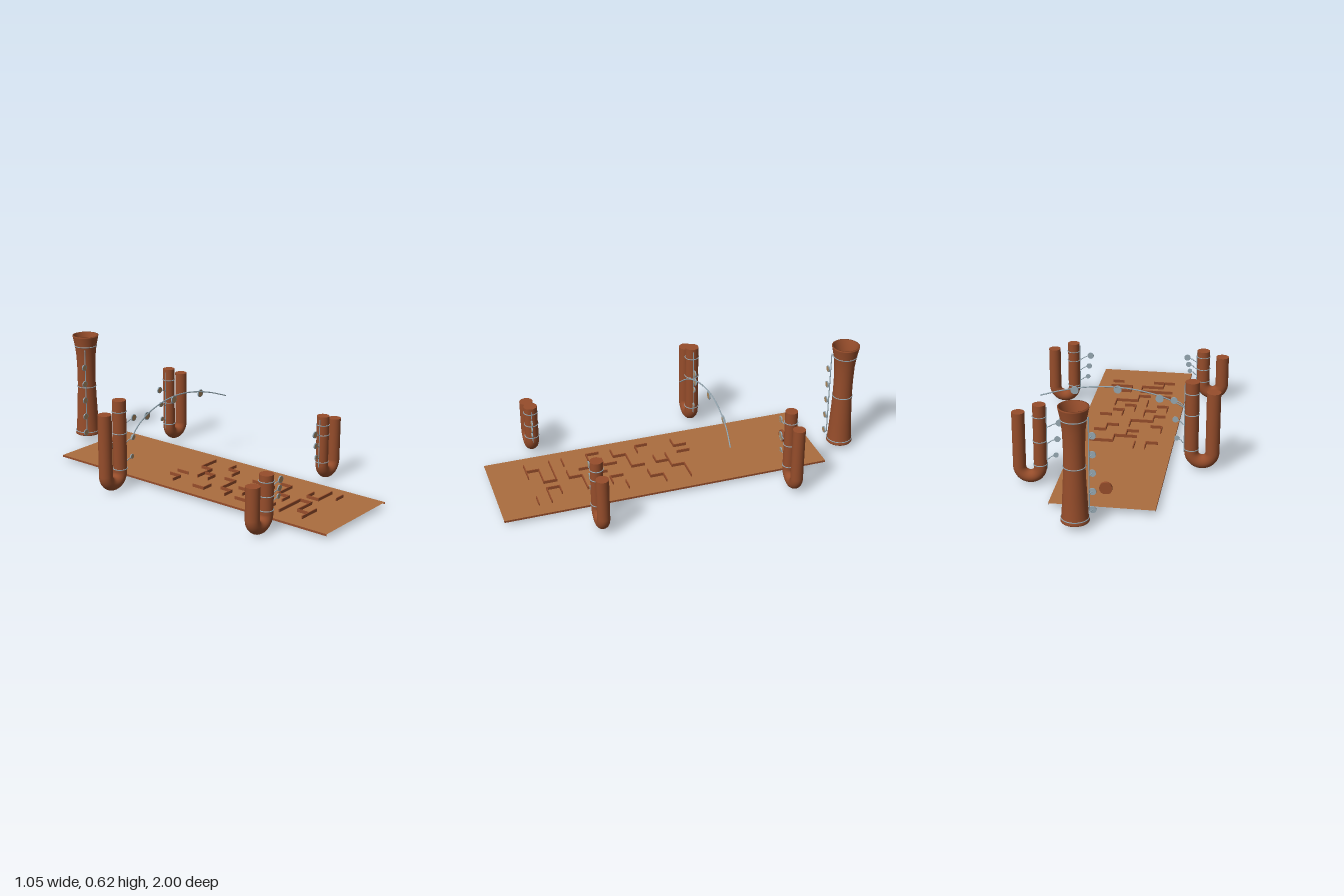
import * as THREE from 'three';

const mat = (name, color, side = THREE.FrontSide) => {
  const m = new THREE.MeshStandardMaterial({ color, side });
  m.name = name;
  return m;
};

export function createModel() {
  const clay = mat('clay', 0x964d2b, THREE.DoubleSide);
  const sand = mat('sand', 0xab6d3f, THREE.DoubleSide);
  const wire = mat('wire', 0x95a8b2);
  const tan = mat('tan', 0xae8a60);

  const model = new THREE.Group();
  model.name = 'pipeGarden';

  const add = (parent, name, geo, material, x = 0, y = 0, z = 0) => {
    const m = new THREE.Mesh(geo, material);
    m.name = name;
    m.position.set(x, y, z);
    parent.add(m);
    return m;
  };
  const group = (name) => {
    const g = new THREE.Group();
    g.name = name;
    model.add(g);
    return g;
  };
  const tube = (parent, name, pts, r, seg = 12) => add(parent, name,
    new THREE.TubeGeometry(new THREE.CatmullRomCurve3(pts.map((p) => new THREE.Vector3(...p))), seg, r, 6), wire);
  const band = (parent, x, y, z, r) =>
    add(parent, 'strap', new THREE.TorusGeometry(r, 0.0026, 8, 32).rotateX(Math.PI / 2), wire, x, y, z);

  // Round metal disc facing the front, with a paler inset face
  const disc = (parent, name, x, y, z, r) => {
    add(parent, name, new THREE.CylinderGeometry(r, r, 0.006, 24).rotateX(Math.PI / 2), wire, x, y, z);
    add(parent, name + 'Face', new THREE.CircleGeometry(r * 0.82, 24), tan, x, y, z + 0.0036);
  };

  // Floor sheet with a hem along each long side
  const floor = group('floor');
  add(floor, 'floorSheet', new THREE.PlaneGeometry(0.53, 1.77).rotateX(-Math.PI / 2), sand, 0.005, 0.026, 0.115);
  for (const x of [-0.26, 0.27]) {
    add(floor, 'floorHem', new THREE.PlaneGeometry(1.77, 0.011).rotateY(Math.PI / 2), clay, x, 0.0205, 0.115);
  }

  // Low maze walls on a grid: h = [row, fromColumn, toColumn], v = [column, fromRow, toRow]
  const maze = group('maze');
  const cx = (i) => -0.177 + 0.061 * i;
  const cz = (j) => -0.1 + 0.0692 * j;
  const h = [[1, 0, 1], [1, 4, 6], [2, 2, 4], [3, 2, 3], [3, 5, 6], [4, 0, 1], [4, 4, 5], [5, 1, 3], [6, 0, 1],
    [6, 5, 6], [7, 1, 2], [7, 4, 5], [8, 0, 1], [8, 3, 4], [9, 3, 5], [10, 0, 1], [10, 2, 3], [11, 0, 2],
    [11, 2, 3], [11, 4, 5], [12, 1, 3], [12, 4, 6], [13, 0, 2], [13, 5, 6]];
  const v = [[1, 0, 1], [2, 0, 1], [3, 2, 3], [4, 1, 2], [0, 3, 4], [5, 3, 4], [1, 5, 6], [3, 4, 5], [2, 6, 7],
    [4, 6, 7], [0, 7, 8], [3, 7, 8], [2, 8, 9], [3, 9, 10], [5, 8, 9], [4, 11, 12], [3, 11, 12], [1, 12, 13]];
  for (const [j, a, b] of h) {
    add(maze, 'mazeWall', new THREE.BoxGeometry(0.061 * (b - a) + 0.005, 0.016, 0.005), clay,
      (cx(a) + cx(b)) / 2, 0.034, cz(j));
  }
  for (const [i, a, b] of v) {
    add(maze, 'mazeWall', new THREE.BoxGeometry(0.005, 0.016, 0.0692 * (b - a) + 0.005), clay,
      cx(i), 0.034, (cz(a) + cz(b)) / 2);
  }

  // U-shaped pipes: inner leg carries straps, a rod and three discs on stalks
  const uPipe = (name, { inner, outer, innerTop, outerTop, z, r, base, discs, straps }) => {
    const g = group(name);
    const bend = Math.abs(inner - outer) / 2;
    const y0 = base + bend + r;
    for (const [x, top] of [[inner, innerTop], [outer, outerTop]]) {
      add(g, 'pipeLeg', new THREE.CylinderGeometry(r, r, top - y0, 32), clay, x, (top + y0) / 2, z);
    }
    add(g, 'pipeBend', new THREE.TorusGeometry(bend, r, 24, 32, Math.PI).rotateZ(Math.PI), clay,
      (inner + outer) / 2, y0, z);
    const s = -Math.sign(inner);
    const rodX = inner + s * (r + 0.002);
    const zf = z + 0.015;
    const rodTop = innerTop - 0.015;
    add(g, 'rod', new THREE.CylinderGeometry(0.0025, 0.0025, rodTop - 0.085, 8), wire, rodX, (rodTop + 0.085) / 2, z + 0.003);
    for (const y of straps) band(g, inner, y, z, r + 0.0012);
    discs.forEach(([x, y], i) => {
      const dr = [0.018, 0.0155, 0.013][i];
      const end = x - s * dr;
      tube(g, 'stalk', [[rodX, y - 0.022, z + 0.003], [(rodX * 2 + end) / 3, y - 0.016, z + 0.007],
        [(rodX + end * 2) / 3, y - 0.008, z + 0.011], [end, y - 0.004, zf]], 0.0026);
      disc(g, 'stalkDisc', x, y, zf, dr);
    });
  };
  uPipe('backPipeRight', { inner: -0.378, outer: -0.488, innerTop: 0.485, outerTop: 0.432, z: -0.225, r: 0.0365,
    base: 0.004, discs: [[-0.283, 0.368], [-0.291, 0.262], [-0.3, 0.157]], straps: [0.424, 0.307, 0.11] });
  uPipe('frontPipeRight', { inner: -0.354, outer: -0.464, innerTop: 0.293, outerTop: 0.261, z: 0.708, r: 0.0365,
    base: 0, discs: [[-0.258, 0.239], [-0.266, 0.197], [-0.274, 0.157]], straps: [0.258, 0.184, 0.11] });
  uPipe('backPipeLeft', { inner: 0.359, outer: 0.467, innerTop: 0.438, outerTop: 0.39, z: -0.515, r: 0.033,
    base: 0.006, discs: [[0.26, 0.335], [0.272, 0.246], [0.28, 0.157]], straps: [0.374, 0.24, 0.11] });
  uPipe('frontPipeLeft', { inner: 0.38, outer: 0.491, innerTop: 0.365, outerTop: 0.325, z: 0.538, r: 0.033,
    base: 0.006, discs: [[0.285, 0.286], [0.294, 0.222], [0.302, 0.157]], straps: [0.317, 0.262, 0.11] });

  // Hollow flared tower, open at both ends
  const tower = group('tower');
  const tx = 0.105, tz = -0.926;
  const outer = [[0.068, 0.03], [0.071, 0.034], [0.069, 0.042], [0.065, 0.06], [0.06, 0.15], [0.055, 0.25],
    [0.052, 0.34], [0.052, 0.42], [0.055, 0.5], [0.062, 0.56], [0.0735, 0.615], [0.0745, 0.622]];
  const inside = [[0.067, 0.622], [0.052, 0.55], [0.043, 0.42], [0.043, 0.34], [0.05, 0.16], [0.06, 0.03]];
  const profile = [...outer, ...inside, outer[0]].map(([x, y]) => new THREE.Vector2(x, y));
  add(tower, 'towerShell', new THREE.LatheGeometry(profile, 48), clay, tx, 0, tz);
  for (const [y, r] of [[0.56, 0.063], [0.318, 0.0538], [0.05, 0.0685]]) band(tower, tx, y, tz, r);
  add(tower, 'towerRod', new THREE.CylinderGeometry(0.003, 0.003, 0.49, 8), wire, 0.045, 0.305, -0.876);
  for (let i = 0; i < 5; i++) {
    const y = 0.062 + i * 0.0972;
    tube(tower, 'towerStalk', [[0.045, y - 0.01, -0.876], [0.03, y, -0.871]], 0.0025, 4);
    disc(tower, 'towerDisc', 0.03, y, -0.868, 0.018);
  }

  // Arched wire over the floor with three hanging discs
  const arch = group('arch');
  tube(arch, 'archWire', [[-0.37, 0.28, -0.153], [-0.3, 0.332, -0.168], [-0.2, 0.377, -0.18], [-0.08, 0.406, -0.188],
    [0.05, 0.416, -0.191], [0.18, 0.404, -0.186], [0.31, 0.373, -0.175], [0.43, 0.33, -0.154]], 0.0035, 48);
  for (const [x, y] of [[-0.205, 0.363], [0.014, 0.4], [0.24, 0.382]]) disc(arch, 'archDisc', x, y, -0.185, 0.021);

  // Standing clay disc at the far end of the floor, with a wire ring round its pale face
  const target = group('target');
  add(target, 'targetDisc', new THREE.CylinderGeometry(0.033, 0.033, 0.014, 32).rotateX(Math.PI / 2), clay,
    0.006, 0.055, -0.626);
  add(target, 'targetFace', new THREE.CircleGeometry(0.026, 32), tan, 0.006, 0.055, -0.6184);
  add(target, 'targetRing', new THREE.TorusGeometry(0.026, 0.0016, 6, 32), wire, 0.006, 0.055, -0.6184);

  return model;
}
